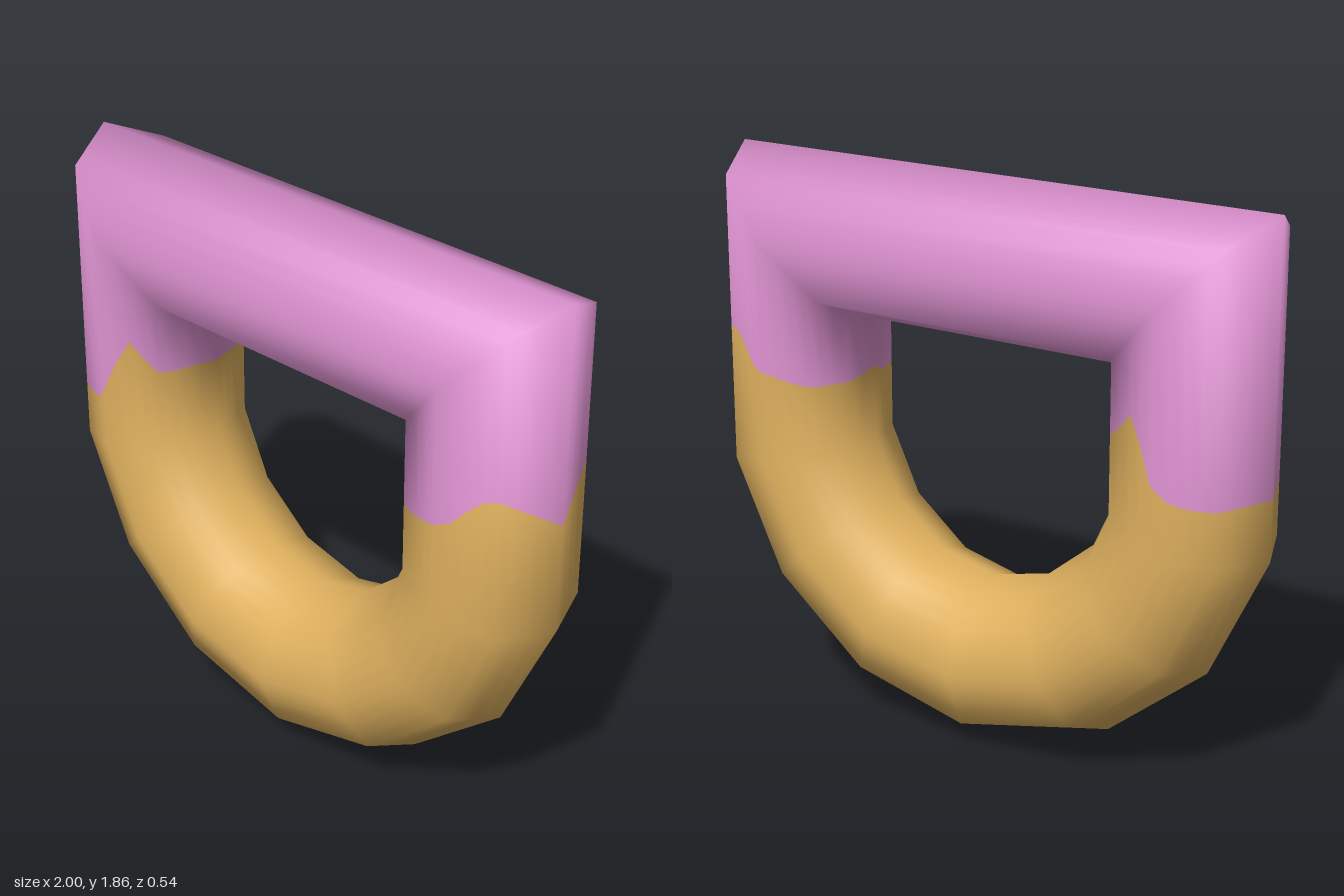
import * as THREE from 'three';

const SUB = 4, N = 8 * SUB, DEPTH = 0.268;

// Octagonal section, each side subdivided so the colour seam can wander.
const section = [];
for (let j = 0; j <= N; j++) {
  const k = Math.floor(j / SUB), f = (j % SUB) / SUB;
  const a = k * Math.PI / 4, b = (k + 1) * Math.PI / 4;
  section.push([
    THREE.MathUtils.lerp(Math.cos(a), Math.cos(b), f),
    THREE.MathUtils.lerp(Math.sin(a), Math.sin(b), f),
  ]);
}

// A ring of section points between an outer and an inner point of the D.
function ring([ox, oy, ix, iy]) {
  const c = new THREE.Vector3((ox + ix) / 2, (oy + iy) / 2, 0);
  const h = new THREE.Vector3((ox - ix) / 2, (oy - iy) / 2, 0);
  const dir = h.clone().normalize();
  return section.map(([u, v]) => ({
    p: c.clone().addScaledVector(h, u).setZ(DEPTH * v),
    n: dir.clone().multiplyScalar(u).setZ(v).normalize(),
  }));
}

// A ring on a straight leg, at a height that varies around the section.
function seam(top, bottom, heights) {
  return top.map((t, j) => {
    const b = bottom[j], y = heights[Math.min(j, N - j)];
    const f = THREE.MathUtils.clamp((t.p.y - y) / (t.p.y - b.p.y), 0.02, 0.98);
    return { p: t.p.clone().lerp(b.p, f), n: t.n.clone().lerp(b.n, f).normalize() };
  });
}

// Skin a row of rings with smooth normals.
function skin(rings, material, name) {
  const pos = [], nor = [], idx = [], w = N + 1;
  rings.forEach((r, i) => r.forEach(({ p, n }, j) => {
    pos.push(p.x, p.y, p.z);
    nor.push(n.x, n.y, n.z);
    if (i < rings.length - 1 && j < N) {
      const a = i * w + j;
      idx.push(a, a + 1, a + w, a + 1, a + w + 1, a + w);
    }
  }));
  const g = new THREE.BufferGeometry();
  g.setAttribute('position', new THREE.Float32BufferAttribute(pos, 3));
  g.setAttribute('normal', new THREE.Float32BufferAttribute(nor, 3));
  g.setIndex(idx);
  const mesh = new THREE.Mesh(g, material);
  mesh.name = name;
  return mesh;
}

export function createModel() {
  const pink = new THREE.MeshStandardMaterial({ color: 0xe094d3 });
  pink.name = 'pink';
  const gold = new THREE.MeshStandardMaterial({ color: 0xdeb05e });
  gold.name = 'gold';

  // Outer x, y and inner x, y from the top corner down to the bottom centre.
  const half = [
    [1, 1.86, 0.472, 1.33],
    [1, 0.8, 0.472, 0.92],
    [0.8, 0.39, 0.38, 0.725],
    [0.445, 0.105, 0.213, 0.59],
  ];
  const mirrored = half.map(([a, b, c, d]) => [-a, b, -c, d]).reverse();
  const rings = [...half, [0, 0, 0, 0.54], ...mirrored].map(ring);
  const last = rings.length - 1;

  // Seam heights from the outer edge round to the inner edge.
  const leftSeam = seam(rings[0], rings[1],
    [1.16, 1.19, 1.22, 1.25, 1.28, 1.27, 1.23, 1.18, 1.165, 1.15, 1.135, 1.125, 1.13, 1.13, 1.13, 1.145, 1.17]);
  const rightSeam = seam(rings[last], rings[last - 1],
    [1, 1, 1, 1, 1, 1, 1.005, 1.02, 1.07, 1.18, 1.26, 1.21, 1.17, 1.165, 1.17, 1.175, 1.18]);

  const group = new THREE.Group();
  group.name = 'dRing';
  group.add(
    skin([leftSeam, ...rings.slice(1, last), rightSeam], gold, 'curvedBow'),
    skin([rightSeam, rings[last], rings[0], leftSeam], pink, 'straightBar'),
  );
  return group;
}
